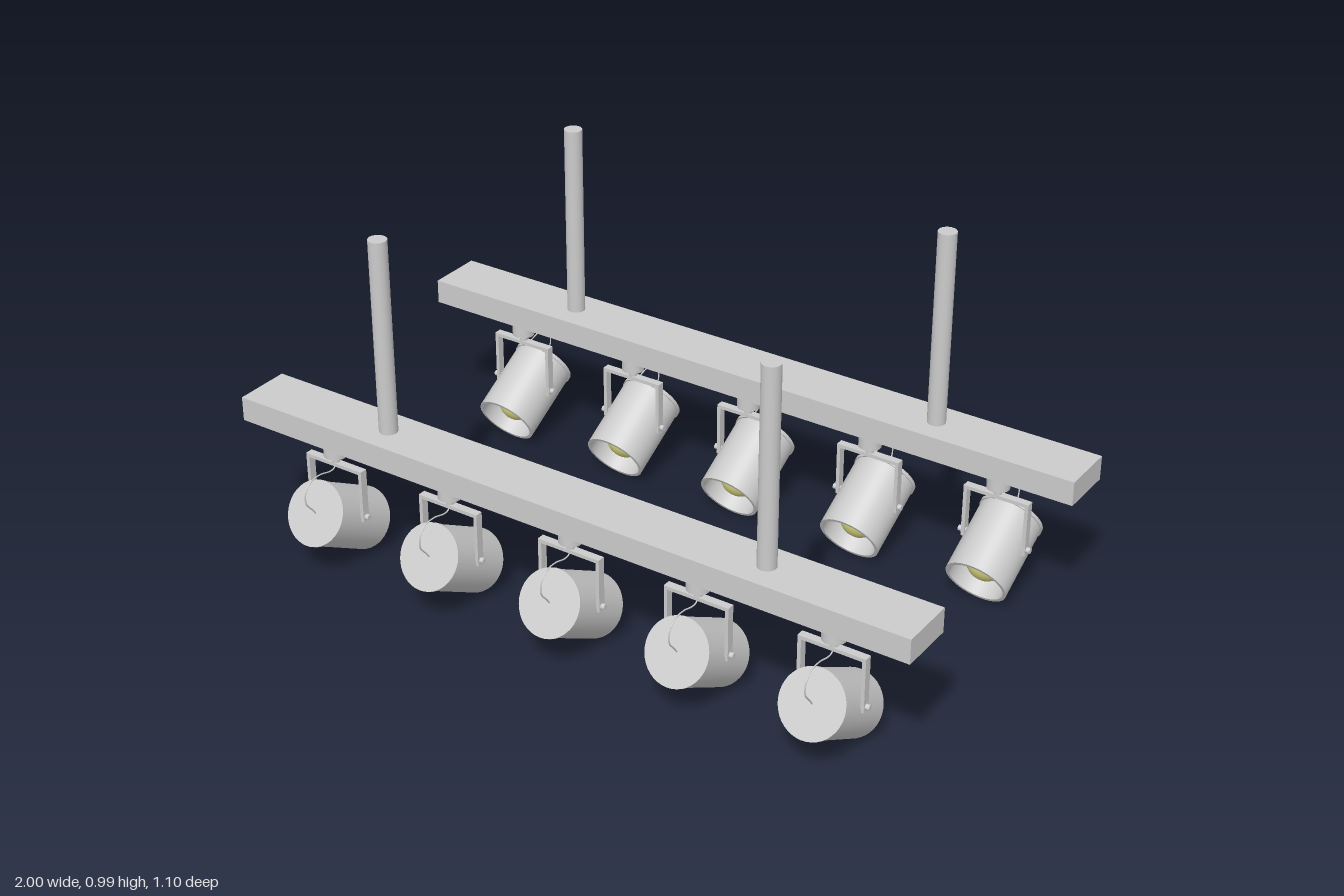
import * as THREE from 'three';
import { toCreasedNormals } from 'three/addons/utils/BufferGeometryUtils.js';

const grey = new THREE.MeshStandardMaterial({ color: 0xcccccc });
const glow = new THREE.MeshStandardMaterial({ color: 0xd8d680 });

const ROW_Z = 0.412;
const LAMP_SPACING = 0.379;

function add(parent, name, geometry, x = 0, y = 0, z = 0, material = grey) {
  const mesh = new THREE.Mesh(geometry, material);
  mesh.name = name;
  mesh.position.set(x, y, z);
  parent.add(mesh);
  return mesh;
}

// Hollow can: local y runs from the closed cap to the open mouth
const canProfile = [
  [0, 0], [0.089, 0], [0.089, 0.01], [0.086, 0.01], [0.086, 0.217],
  [0.077, 0.217], [0.077, 0.03], [0, 0.03],
].map(([r, y]) => new THREE.Vector2(r, y));
const canGeometry = toCreasedNormals(new THREE.LatheGeometry(canProfile, 40), 0.6);

// Power cable looping from the cap up to the hanger
const cablePath = new THREE.CatmullRomCurve3([
  [0.18, 0.09], [0.2, 0.105], [0.228, 0.126], [0.26, 0.124], [0.283, 0.1],
  [0.286, 0.065], [0.277, 0.025], [0.28, 0.008], [0.3, 0],
].map(([y, z]) => new THREE.Vector3(0, y, z)));
const cableGeometry = new THREE.TubeGeometry(cablePath, 40, 0.002, 6);

function makeLamp() {
  const lamp = new THREE.Group();
  lamp.name = 'spotlight';

  add(lamp, 'ceilingSocket', new THREE.CylinderGeometry(0.031, 0.031, 0.066, 24), 0, 0.348, 0);
  add(lamp, 'swivelPin', new THREE.CylinderGeometry(0.011, 0.011, 0.03, 12), 0, 0.302, 0);

  // U-shaped bracket with pivot bolts
  add(lamp, 'bracketTop', new THREE.BoxGeometry(0.186, 0.01, 0.022), 0, 0.291, 0);
  for (const side of [-1, 1]) {
    add(lamp, 'bracketArm', new THREE.BoxGeometry(0.01, 0.148, 0.022), side * 0.088, 0.217, 0);
    const bolt = add(lamp, 'pivotBolt', new THREE.CylinderGeometry(0.008, 0.008, 0.024, 12), side * 0.092, 0.157, 0);
    bolt.rotation.z = Math.PI / 2;
  }

  // Can and bulb, tipped 30 degrees below horizontal
  const head = new THREE.Group();
  head.name = 'lampHead';
  head.position.set(0, 0.183, 0.094);
  head.rotation.x = -2 * Math.PI / 3;
  add(head, 'can', canGeometry);
  add(head, 'bulbNeck', new THREE.CylinderGeometry(0.025, 0.025, 0.08, 16), 0, 0.068, 0);
  add(head, 'bulb', new THREE.SphereGeometry(0.057, 16, 12), 0, 0.145, 0, glow);
  lamp.add(head);

  add(lamp, 'cable', cableGeometry);
  return lamp;
}

// One rail with its posts and five spotlights, aimed towards -z
function makeRow() {
  const row = new THREE.Group();
  row.name = 'lightRow';
  add(row, 'rail', new THREE.BoxGeometry(2, 0.068, 0.157), 0, 0.414, ROW_Z);
  for (const side of [-1, 1]) {
    add(row, 'post', new THREE.CylinderGeometry(0.025, 0.025, 0.545, 16), side * 0.57, 0.7175, ROW_Z);
  }
  for (let i = -2; i <= 2; i++) {
    const lamp = makeLamp();
    lamp.position.set(i * LAMP_SPACING, 0, ROW_Z);
    row.add(lamp);
  }
  return row;
}

export function createModel() {
  const model = new THREE.Group();
  model.name = 'trackLights';
  const front = makeRow();
  const back = makeRow();
  back.rotation.y = Math.PI;
  model.add(front, back);
  return model;
}
